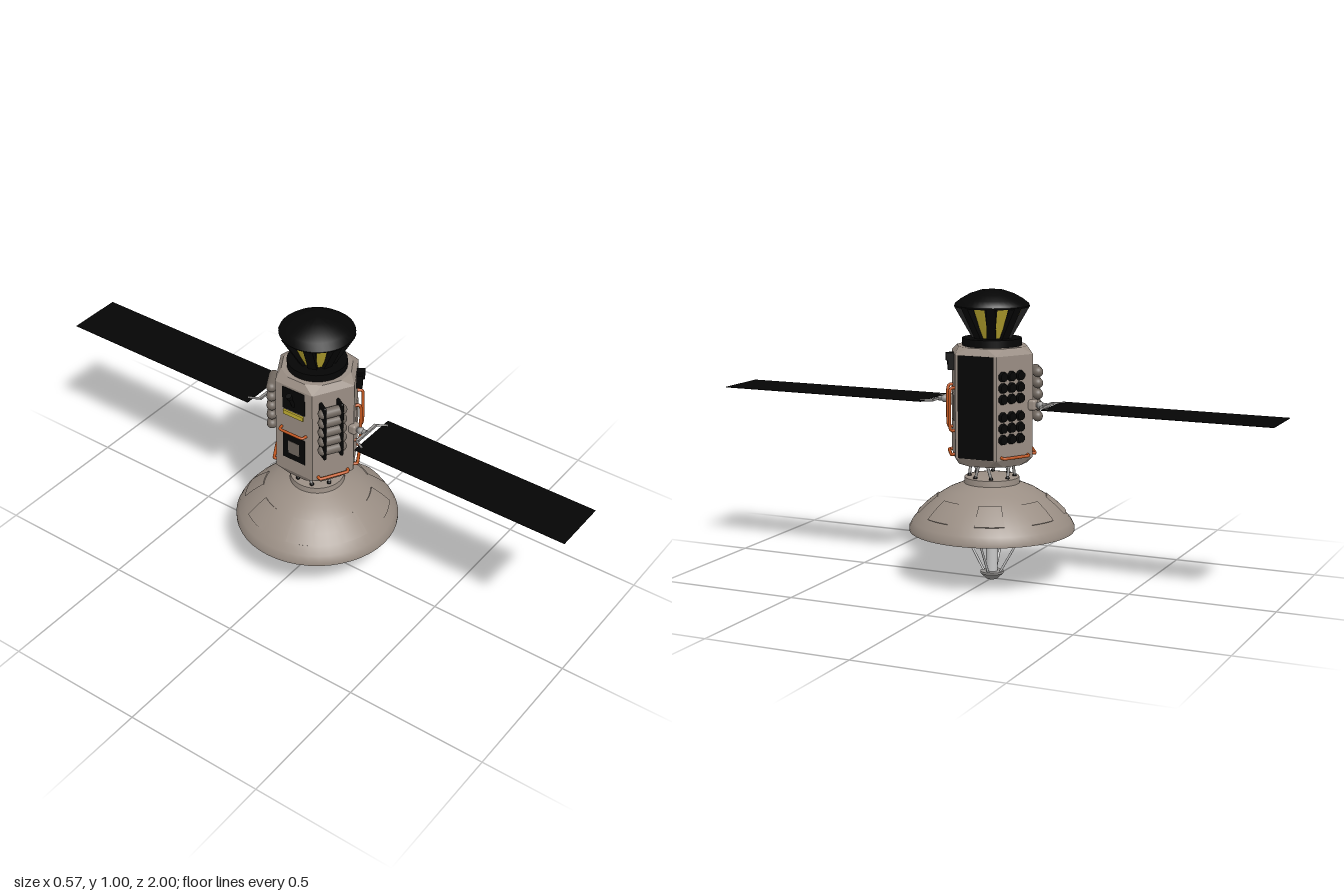
import * as THREE from 'three';
import { toCreasedNormals } from 'three/addons/utils/BufferGeometryUtils.js';
import { ConvexGeometry } from 'three/addons/geometries/ConvexGeometry.js';
import { RoundedBoxGeometry } from 'three/addons/geometries/RoundedBoxGeometry.js';

const mat = (name, color) => new THREE.MeshStandardMaterial({ name, color });
const V = (x, y, z) => new THREE.Vector3(x, y, z);
const RAD = Math.PI / 180;

export function createModel() {
  const hull = mat('warm grey hull', 0x9a8e84);
  const black = mat('black', 0x050505);
  const yellow = mat('yellow', 0xc4b032);
  const orange = mat('orange', 0xc0561f);
  const tankGrey = mat('dark grey', 0x70675f);
  const metal = mat('light metal', 0xc8c8c8);
  const grey = mat('fitting grey', 0x969492);

  const model = new THREE.Group();
  const add = (name, geo, material, parent = model, x = 0, y = 0, z = 0) => {
    const m = new THREE.Mesh(geo, material);
    m.name = name;
    m.position.set(x, y, z);
    parent.add(m);
    return m;
  };
  const box = (w, h, d) => new THREE.BoxGeometry(w, h, d);
  const lathe = (pts, seg = 40, start = 0, len = Math.PI * 2) => toCreasedNormals(
    new THREE.LatheGeometry(pts.map(p => new THREE.Vector2(...p)), seg, start, len), 0.6);
  const rod = (name, a, b, r, material, parent = model) => {
    const m = add(name, new THREE.CylinderGeometry(r, r, a.distanceTo(b), 10), material, parent);
    m.position.copy(a).lerp(b, 0.5);
    m.quaternion.setFromUnitVectors(V(0, 1, 0), b.clone().sub(a).normalize());
    return m;
  };
  const pipe = (name, pts, r, material, parent) => add(name,
    new THREE.TubeGeometry(new THREE.CatmullRomCurve3(pts, false, 'catmullrom', 0.2), 28, r, 8), material, parent);

  // Six-sided body with bevelled ends and clipped corners
  const pts = [];
  for (let i = 0; i < 6; i++) {
    const c = i * 60 * RAD, n = c + 30 * RAD;
    for (const y of [0.437, 0.785]) pts.push(V(0.15 * Math.sin(c), y, 0.15 * Math.cos(c)));
    for (const y of [0.41, 0.808]) for (const t of [-0.034, 0.034])
      pts.push(V(0.115 * Math.sin(n) + t * Math.cos(n), y, 0.115 * Math.cos(n) - t * Math.sin(n)));
  }
  add('body', new ConvexGeometry(pts), hull);
  add('bodyUnderside', new THREE.CylinderGeometry(0.095, 0.095, 0.004, 32), black, model, 0, 0.4095, 0);

  // Head: collar, core cone, domed cap, and eight ribs with windows set between them
  add('headCollar', new THREE.CylinderGeometry(0.1, 0.1, 0.026, 32), black, model, 0, 0.82, 0);
  add('headCore', lathe([[0, 0.83], [0.051, 0.83], [0.104, 0.942], [0, 0.942]]), black);
  add('headCap', lathe([[0, 0.936], [0.122, 0.936], [0.126, 0.942], [0.124, 0.948], [0.105, 0.963],
    [0.075, 0.98], [0.04, 0.992], [0, 0.996]]), black);
  const ribShape = new THREE.Shape([[0.04, 0.83], [0.064, 0.83], [0.127, 0.94], [0.09, 0.94]]
    .map(p => new THREE.Vector2(...p)));
  const ribGeo = new THREE.ExtrudeGeometry(ribShape, { depth: 0.03, bevelEnabled: false }).translate(0, 0, -0.015);
  for (let i = 0; i < 8; i++) {
    add('headRib', ribGeo, black).rotation.y = (i * 45 + 22.5) * RAD;
    add('headWindow', lathe([[0.056, 0.835], [0.103, 0.934]], 4, (i * 45 - 10.5) * RAD, 21 * RAD), yellow);
  }

  // Dish: outer shell, inner reflector, raised panels
  const shell = [[0.283, 0.175], [0.283, 0.187], [0.272, 0.208], [0.25, 0.235], [0.22, 0.264],
    [0.185, 0.292], [0.15, 0.314], [0.115, 0.329], [0.095, 0.338]];
  add('dishShell', lathe([...shell, [0.093, 0.358], [0.08, 0.36], [0, 0.36]], 48), hull);
  add('dishReflector', lathe([[0, 0.312], [0.07, 0.303], [0.14, 0.277], [0.21, 0.23], [0.283, 0.175]], 48), metal);
  const panel = [...shell.slice(3, 4), ...shell.slice(3, 6).map(([r, y]) => [r + 0.0025, y + 0.0025]), shell[5]];
  for (let i = 0; i < 8; i++)
    add('dishPanel', lathe(panel, 6, (i * 45 + 11) * RAD, 23 * RAD), hull);

  // Feed mast, feed horn and four stays under the dish
  add('feedMast', new THREE.CylinderGeometry(0.02, 0.02, 0.29, 20), metal, model, 0, 0.165, 0);
  add('feedHorn', lathe([[0, 0], [0.02, 0], [0.04, 0.02], [0.04, 0.027], [0, 0.028]], 24), grey);
  for (let i = 0; i < 4; i++) {
    const s = Math.sin(i * 90 * RAD), c = Math.cos(i * 90 * RAD);
    rod('feedStay', V(0.03 * s, 0.024, 0.03 * c), V(0.165 * s, 0.258, 0.165 * c), 0.004, metal);
  }

  // Eight truss legs between dish and body, in converging pairs
  for (let i = 0; i < 4; i++) for (const s of [-1, 1]) {
    const turn = p => p.applyAxisAngle(V(0, 1, 0), i * 90 * RAD);
    const foot = turn(V(s * 0.029, 0.362, 0.071));
    rod('trussLeg', foot, turn(V(s * 0.013, 0.415, 0.071)), 0.005, grey);
    add('trussFoot', new THREE.SphereGeometry(0.0075, 12, 8), black).position.copy(foot);
  }

  // Solar wings with their mounts, front and back
  for (const turn of [0, Math.PI]) {
    const wing = new THREE.Group();
    wing.name = 'solarWing';
    wing.rotation.y = turn;
    model.add(wing);
    add('solarPanel', box(0.194, 0.002, 0.78), black, wing, 0, 0.614, 0.61);
    add('wingHub', new RoundedBoxGeometry(0.034, 0.036, 0.03, 3, 0.008), hull, wing, 0, 0.614, 0.15);
    rod('wingArm', V(0, 0.614, 0.15), V(0, 0.614, 0.2), 0.009, grey, wing);
    add('wingJoint', new THREE.SphereGeometry(0.013, 16, 12), grey, wing, 0, 0.614, 0.178);
    add('wingCrossbar', box(0.11, 0.008, 0.01), grey, wing, 0, 0.614, 0.2);
    for (const s of [-1, 1])
      rod('wingFork', V(s * 0.053, 0.614, 0.2), V(s * 0.075, 0.614, 0.235), 0.004, grey, wing);
  }

  // Frame for one body side: x along it, z outward from its surface
  const side = (name, deg) => {
    const outer = new THREE.Group(), g = new THREE.Group();
    outer.name = name;
    outer.rotation.y = deg * RAD;
    g.position.z = 0.13;
    outer.add(g);
    model.add(outer);
    return g;
  };
  const bottomRail = g => pipe('bottomRail', [V(-0.054, 0.447, -0.002), V(-0.052, 0.445, 0.01),
    V(-0.04, 0.445, 0.012), V(0.04, 0.445, 0.012), V(0.052, 0.445, 0.01), V(0.054, 0.447, -0.002)], 0.0055, orange, g);
  const tanks = (g, x) => {
    for (let i = 0; i < 5; i++)
      add('tank', new THREE.CapsuleGeometry(0.018, 0.066, 6, 16), tankGrey, g, x, 0.57 + i * 0.0375, 0.02)
        .rotation.z = Math.PI / 2;
  };
  const grip = (g, x, y, h) => pipe('handrail', [V(x - 0.008, y - h, -0.002), V(x - 0.004, y - h, 0.013),
    V(x, y - h + 0.018, 0.018), V(x, y + h - 0.018, 0.018), V(x - 0.004, y + h, 0.013), V(x - 0.008, y + h, -0.002)], 0.0055, orange, g);

  // Front right: hatch, handrails, small camera
  const fr = side('frontRightSide', 30);
  bottomRail(fr);
  add('hatch', box(0.06, 0.088, 0.006), hull, fr, 0.02, 0.603, 0.001);
  grip(fr, -0.022, 0.6, 0.072);
  grip(fr, 0.064, 0.6, 0.072);
  add('cameraBody', box(0.036, 0.05, 0.02), black, fr, 0.008, 0.752, 0.01);
  add('cameraHead', box(0.028, 0.025, 0.028), black, fr, 0.012, 0.773, 0.013);

  // Front left: tank rack
  const fl = side('frontLeftSide', -30);
  bottomRail(fl);
  tanks(fl, -0.012);
  for (const x of [-0.045, 0.016])
    add('tankBracket', new RoundedBoxGeometry(0.011, 0.212, 0.046, 3, 0.005), black, fl, x, 0.647, 0.016);

  // Back left: second tank rack
  const bl = side('backLeftSide', -150);
  bottomRail(bl);
  tanks(bl, -0.012);

  // Back right: two grids of round cells
  const br = side('backRightSide', 150);
  bottomRail(br);
  for (const y of [0.68, 0.545])
    for (let i = -1; i <= 1; i++) for (let j = -1; j <= 1; j++)
      add('cell', new THREE.CylinderGeometry(0.015, 0.0185, 0.012, 8).rotateY(22.5 * RAD), black, br,
        -0.014 + i * 0.035, y + j * 0.038, 0.005).rotation.x = Math.PI / 2;

  // Right: tall black radiator
  const r = side('rightSide', 90);
  add('radiator', box(0.13, 0.346, 0.006), black, r, 0, 0.611, -0.0015);

  // Left: equipment plate, yellow strip, framed port, handrail, antenna
  const l = side('leftSide', -90);
  add('equipmentPlate', box(0.09, 0.085, 0.006), black, l, 0, 0.735, -0.001);
  add('warningStrip', box(0.08, 0.016, 0.009), yellow, l, 0, 0.68, 0.002);
  add('portFrame', box(0.09, 0.1, 0.006), black, l, 0, 0.54, -0.001);
  add('portCover', box(0.045, 0.05, 0.006), tankGrey, l, 0, 0.54, 0);
  pipe('crossRail', [V(-0.05, 0.612, -0.002), V(-0.047, 0.612, 0.016), V(-0.035, 0.612, 0.019),
    V(0.035, 0.612, 0.019), V(0.047, 0.612, 0.016), V(0.05, 0.612, -0.002)], 0.005, orange, l);
  rod('antennaArm', V(0, 0.715, 0), V(0, 0.766, 0.024), 0.006, black, l);
  rod('antennaHead', V(0, 0.758, 0.02), V(0, 0.772, 0.027), 0.01, black, l);

  return model;
}
